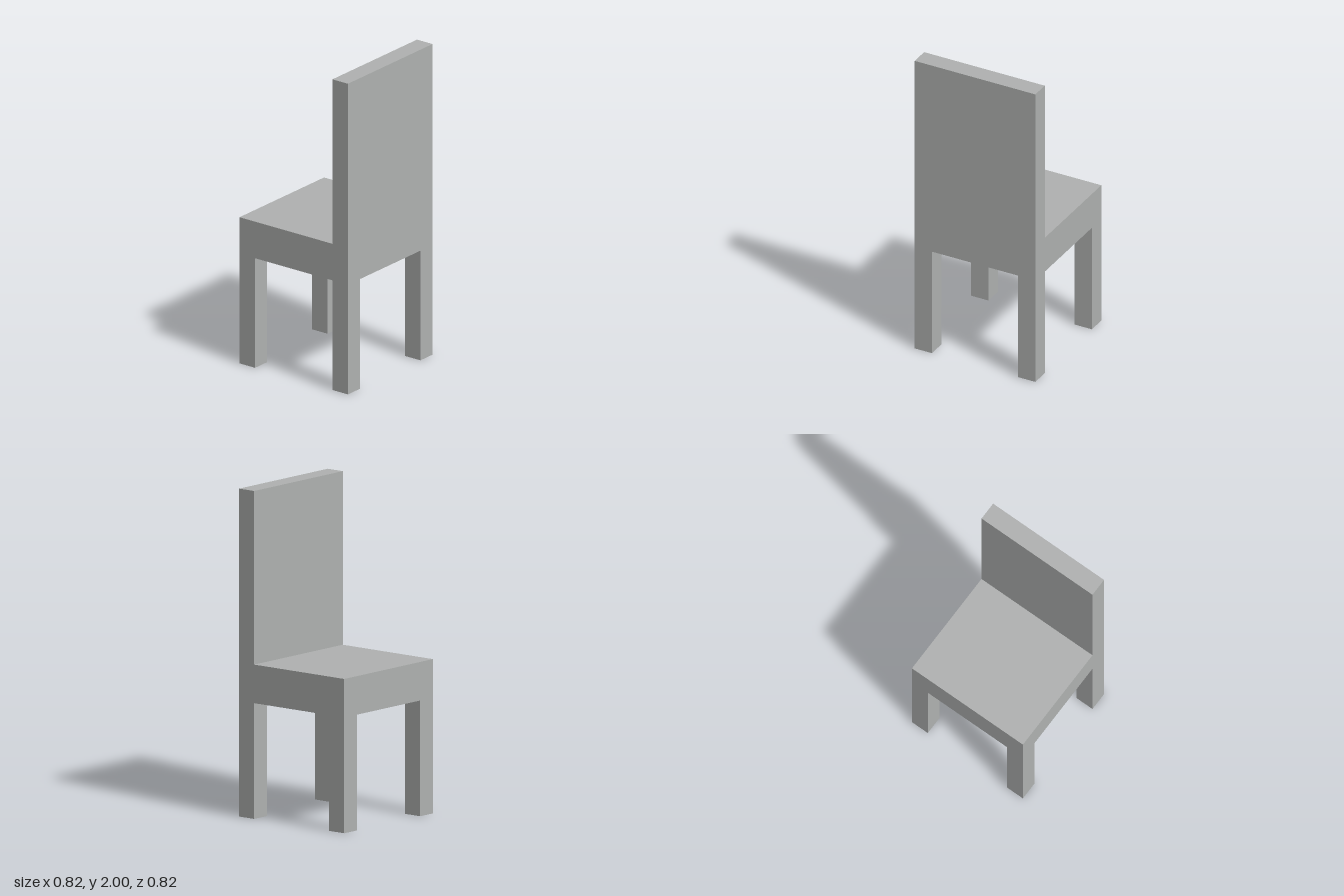
import * as THREE from 'three';

// The chair is laid out on a square module: 7 x 17 x 7 units
const U = 2 / 17;

export function createModel() {
  const chair = new THREE.Group();
  chair.name = 'chair';
  const grey = new THREE.MeshStandardMaterial({ color: 0xb0b2b1 });
  grey.name = 'grey';

  // Box sized in units, placed by the centre of its base
  function block(name, w, h, d, x, y, z) {
    const mesh = new THREE.Mesh(new THREE.BoxGeometry(w * U, h * U, d * U), grey);
    mesh.name = name;
    mesh.position.set(x * U, (y + h / 2) * U, z * U);
    chair.add(mesh);
  }

  // Four square legs, flush with the outer corners
  for (const [side, x] of [['left', 3], ['right', -3]]) {
    for (const [end, z] of [['Front', 3], ['Back', -3]]) {
      block(`${side}${end}Leg`, 1, 6, 1, x, 0, z);
    }
  }

  // Thick seat, and the tall backrest on the +z edge
  block('seat', 7, 2, 6, 0, 6, -0.5);
  block('backrest', 7, 11, 1, 0, 6, 3);

  return chair;
}
